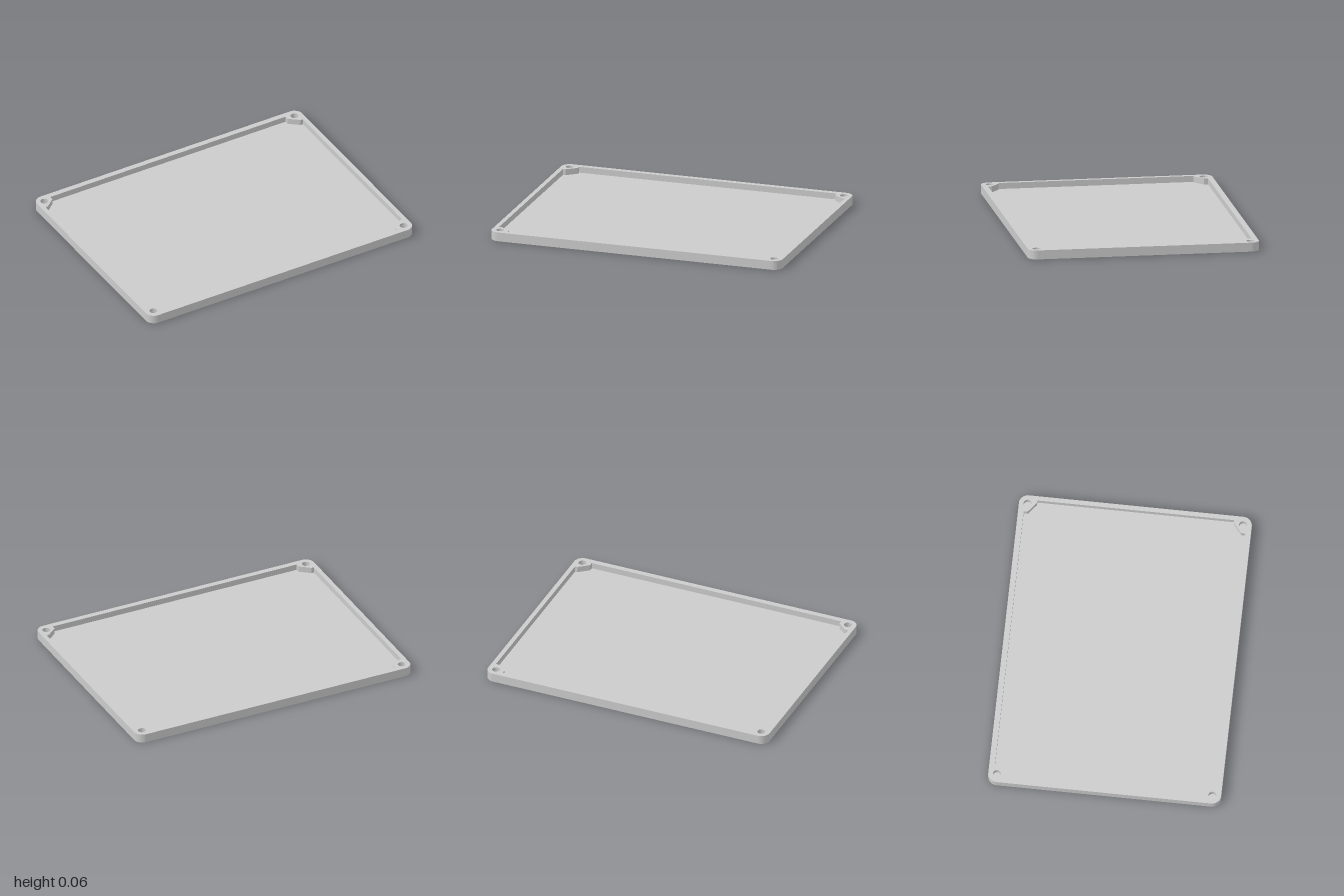
import * as THREE from 'three';
import { toCreasedNormals } from 'three/addons/utils/BufferGeometryUtils.js';

const W = 1, D = 0.763, R = 0.06;       // half width, half depth, corner radius
const FLOOR = 0.02, HEIGHT = 0.06;
const SIGNS = [[1, 1], [-1, 1], [-1, -1], [1, -1]];

// Rounded rectangle outline of the tray
function outline() {
  const s = new THREE.Shape();
  SIGNS.forEach(([sx, sy], i) => {
    s.absarc(sx * (W - R), sy * (D - R), R, i * Math.PI / 2, (i + 1) * Math.PI / 2, false);
  });
  s.closePath();
  return s;
}

// Pocket outline, stepping inwards around the screw boss in each corner
function pocket() {
  const corner = [[0.97, 0.645], [0.953, 0.645], [0.886, 0.699], [0.886, 0.726]];
  const pts = [];
  SIGNS.forEach(([sx, sy]) => {
    const run = corner.map(([x, y]) => new THREE.Vector2(sx * x, sy * y));
    pts.push(...(sx * sy > 0 ? run : run.reverse()));
  });
  return new THREE.Path(pts);
}

function slab(name, shape, y0, y1, material) {
  const geo = new THREE.ExtrudeGeometry(shape, { depth: y1 - y0, bevelEnabled: false, curveSegments: 16 });
  geo.rotateX(-Math.PI / 2).translate(0, y0, 0);
  const mesh = new THREE.Mesh(toCreasedNormals(geo, 0.6), material);
  mesh.name = name;
  return mesh;
}

export function createModel() {
  const group = new THREE.Group();
  group.name = 'trayLid';
  const material = new THREE.MeshStandardMaterial({ color: 0xcccccc });

  // Solid floor plate
  group.add(slab('floorPlate', outline(), 0, FLOOR, material));

  // Rim wall with corner bosses and blind screw holes
  const rim = outline();
  rim.holes.push(pocket());
  for (const [sx, sy] of SIGNS) {
    rim.holes.push(new THREE.Path().absarc(sx * 0.943, sy * 0.706, 0.026, 0, Math.PI * 2, true));
  }
  group.add(slab('rimWall', rim, FLOOR, HEIGHT, material));

  return group;
}
